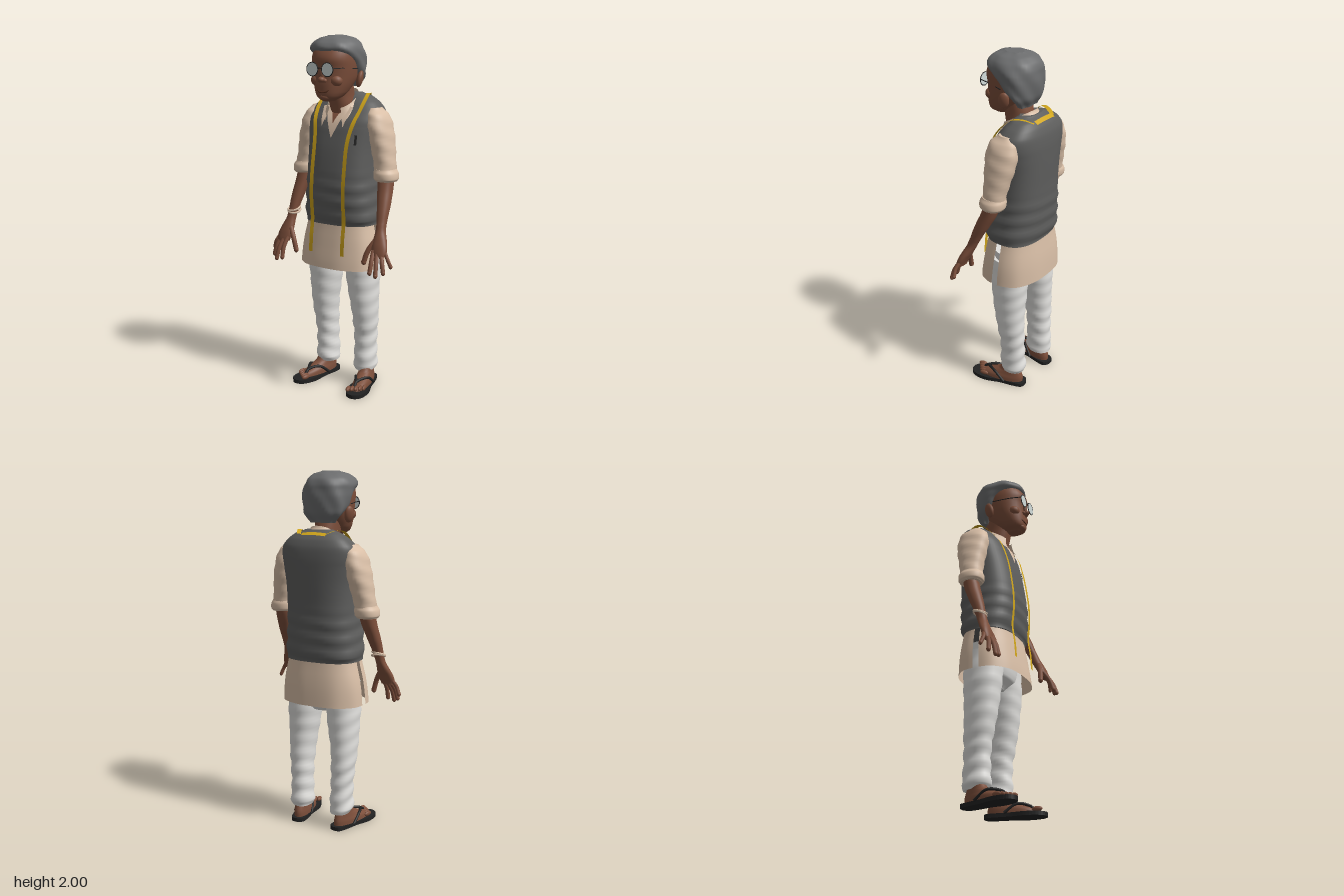
import * as THREE from 'three';

const mat = (name, color, side = THREE.FrontSide) => {
  const m = new THREE.MeshStandardMaterial({ color, side });
  m.name = name;
  return m;
};
const V = (x, y, z) => new THREE.Vector3(x, y, z);

// Surface from a rule: rows run upward, columns run counterclockwise seen from above
function grid(rows, cols, point, closed = false) {
  const pos = [], idx = [], n = closed ? cols : cols + 1;
  for (let i = 0; i <= rows; i++)
    for (let j = 0; j < n; j++) pos.push(...point(i, j / cols));
  for (let i = 0; i < rows; i++)
    for (let j = 0; j < cols; j++) {
      const k = (j + 1) % n, a = i * n + j, b = i * n + k, c = b + n, d = a + n;
      idx.push(a, b, c, a, c, d);
    }
  const g = new THREE.BufferGeometry();
  g.setAttribute('position', new THREE.Float32BufferAttribute(pos, 3));
  g.setIndex(idx);
  g.computeVertexNormals();
  return g;
}

// Cross-section rows are [y, centreX, frontZ, backZ, halfWidth]
function rowAt(rows, y) {
  let i = 0;
  while (i < rows.length - 2 && y > rows[i + 1][0]) i++;
  const t = (y - rows[i][0]) / (rows[i + 1][0] - rows[i][0]);
  const at = k => rows[Math.min(Math.max(k, 0), rows.length - 1)];
  const [p, q, r, s] = [at(i - 1), at(i), at(i + 1), at(i + 2)];
  return q.map((v, k) => k === 0 ? y : v + 0.5 * t * (r[k] - p[k] +
    t * (2 * p[k] - 5 * v + 4 * r[k] - s[k] + t * (3 * (v - r[k]) + s[k] - p[k]))));
}
const bend = (v, n) => Math.sign(v) * Math.pow(Math.abs(v), 2 / n);

function loft(rows, { n = 2.2, cols = 32, arc, ripple = () => 0 } = {}) {
  const ys = [];
  rows.forEach((r, i) => {
    if (i) for (let k = 0; k < 5; k++) ys.push(rows[i - 1][0] + (r[0] - rows[i - 1][0]) * k / 5);
  });
  ys.push(rows.at(-1)[0]);
  const last = ys.length - 1;
  // closed bodies get a doubled rim and a centre row at each end
  const list = ys.map(y => [y, 1]);
  if (!arc) {
    list.unshift([ys[0], 0], [ys[0], 1]);
    list.push([ys[last], 1], [ys[last], 0]);
  }
  const [a, b] = arc || [0, Math.PI * 2];
  return grid(list.length - 1, cols, (i, f) => {
    const [y, scale] = list[i], t = a + (b - a) * f;
    const [, cx, zf, zb, rx] = rowAt(rows, y), d = ripple(y, t);
    return [cx + scale * (rx + d) * bend(Math.sin(t), n), y,
      (zf + zb) / 2 + scale * ((zf - zb) / 2 + d) * bend(Math.cos(t), n)];
  }, !arc);
}

const torso = [[0.97, 0, 0.122, -0.18, 0.214], [1.0, 0, 0.13, -0.188, 0.22], [1.1, 0, 0.14, -0.195, 0.212],
  [1.2, 0, 0.14, -0.2, 0.205], [1.3, 0, 0.128, -0.2, 0.203], [1.4, 0, 0.11, -0.203, 0.206],
  [1.5, 0, 0.085, -0.205, 0.218], [1.55, 0, 0.065, -0.204, 0.224], [1.6, 0, 0.03, -0.198, 0.215],
  [1.64, 0, 0, -0.183, 0.18], [1.67, 0, -0.03, -0.16, 0.135], [1.69, 0, -0.05, -0.13, 0.08]];
const TORSO_N = 2.6;
// Depth of the chest surface at x, y
function frontZ(x, y) {
  const [, , zf, zb, rx] = rowAt(torso, y);
  const u = Math.min(1, Math.abs(x) / rx);
  return (zf + zb) / 2 + (zf - zb) / 2 * Math.pow(1 - Math.pow(u, TORSO_N), 1 / TORSO_N);
}
// Thin panel lying on the chest
const patch = (y0, y1, left, right, offset) => grid(10, 8, (i, f) => {
  const t = i / 10, y = y0 + (y1 - y0) * t, x = left(t) + (right(t) - left(t)) * f;
  return [x, y, frontZ(x, y) + offset];
});
function ribbon(points, width, normalAt) {
  const c = new THREE.CatmullRomCurve3(points), n = 60;
  return grid(n, 1, (i, f) => {
    const p = c.getPoint(i / n), side = c.getTangent(i / n).cross(normalAt(p)).normalize();
    return p.addScaledVector(side, (f - 0.5) * width).toArray();
  });
}
const tube = (pts, r, seg = 16) =>
  new THREE.TubeGeometry(new THREE.CatmullRomCurve3(pts), seg, r, 10, false);

export function createModel() {
  const model = new THREE.Group();
  model.name = 'oldMan';
  const D = THREE.DoubleSide;
  const skin = mat('skin', 0x7d4f3b), hair = mat('greyHair', 0x6c6d6e), vestM = mat('vestGrey', 0x5e5e5d);
  const shirt = mat('shirtBeige', 0xd9bfa7, D), white = mat('trouserWhite', 0xe2e1de);
  const black = mat('black', 0x222222, D), yellow = mat('tapeYellow', 0xd0a51c, D);
  const lens = mat('lens', 0xd3dcda, D), lip = mat('lipBrown', 0x55301f);
  const add = (name, geo, m, parent = model) => {
    const mesh = new THREE.Mesh(geo, m);
    mesh.name = name;
    parent.add(mesh);
    return mesh;
  };
  const ball = (name, m, p, sx, sy, sz, parent) => {
    const b = add(name, new THREE.SphereGeometry(1, 20, 14), m, parent);
    b.position.copy(p);
    b.scale.set(sx, sy, sz);
    return b;
  };

  // Vest with soft folds at the waist
  add('vest', loft(torso, { n: TORSO_N, cols: 48, ripple: (y, t) =>
    0.004 * Math.max(0, Math.min(1, (1.28 - y) / 0.1)) * Math.sin(y * 75 + Math.sin(t * 2)) }), vestM);

  // Long shirt tails, front and back, with side slits
  const tails = [[0.725, 0, 0.155, -0.195, 0.245], [0.85, 0, 0.137, -0.19, 0.235], [1.0, 0, 0.115, -0.175, 0.205]];
  const folds = (y, t) => 0.004 * Math.sin(t * 9) * (1 - y);
  add('shirtFrontTail', loft(tails, { n: 2.5, cols: 40, arc: [-1.51, 1.51], ripple: folds }), shirt);
  add('shirtBackTail', loft(tails, { n: 2.5, cols: 40, arc: [1.63, Math.PI * 2 - 1.63], ripple: folds }), shirt);

  // Shirt opening, neck and collar
  add('shirtFront', patch(1.455, 1.64, t => -0.08 * t - 0.002, t => 0.08 * t + 0.002, 0.006), shirt);
  add('bareChest', patch(1.53, 1.64, t => -0.045 * t, t => 0.045 * t, 0.01), skin);
  add('neck', loft([[1.54, 0, 0.045, -0.1, 0.045], [1.62, 0, 0.06, -0.1, 0.066], [1.68, -0.003, 0.075, -0.09, 0.066],
    [1.76, -0.005, 0.09, -0.07, 0.07]]), skin);
  const collar = loft([[1.6, 0, 0.085, -0.145, 0.112], [1.635, 0, 0.075, -0.125, 0.095], [1.665, 0, 0.07, -0.112, 0.078]],
    { arc: [0.45, Math.PI * 2 - 0.45] });
  const cp = collar.attributes.position;
  for (let i = 0; i < cp.count; i++) cp.setY(i, cp.getY(i) - 0.55 * (cp.getZ(i) + 0.03));
  collar.computeVertexNormals();
  add('collar', collar, shirt);
  for (const s of [-1, 1]) {
    const a = t => s * (0.066 - 0.03 * t), b = t => s * (0.07 + 0.025 * t);
    add('collarPoint', patch(1.515, 1.62, s > 0 ? a : b, s > 0 ? b : a, 0.014), shirt);
  }
  add('pocketClip', patch(1.42, 1.475, () => 0.138, () => 0.15, 0.005), black);

  // Head, nose, mouth and ears
  const cx = -0.006;
  add('head', loft([[1.655, cx, 0.148, 0.07, 0.03], [1.675, cx, 0.168, 0.03, 0.064], [1.7, cx, 0.174, -0.01, 0.083],
    [1.74, cx, 0.174, -0.05, 0.1], [1.78, cx, 0.17, -0.08, 0.112], [1.83, cx, 0.17, -0.09, 0.12],
    [1.88, cx, 0.177, -0.1, 0.122], [1.93, cx, 0.155, -0.1, 0.115], [1.97, cx, 0.11, -0.07, 0.085]]), skin);
  ball('noseBridge', skin, V(cx, 1.805, 0.172), 0.014, 0.035, 0.015);
  ball('noseTip', skin, V(cx, 1.772, 0.18), 0.019, 0.016, 0.021);
  for (const s of [-1, 1]) {
    ball('nostril', skin, V(cx + s * 0.016, 1.767, 0.172), 0.012, 0.011, 0.013);
    ball('cheek', skin, V(cx + s * 0.06, 1.765, 0.13), 0.036, 0.032, 0.034);
    ball('ear', skin, V(cx + s * 0.127, 1.77, 0.0), 0.018, 0.046, 0.03).rotation.set(-0.15, s * 0.4, -s * 0.15);
  }
  ball('chin', skin, V(cx, 1.678, 0.152), 0.034, 0.02, 0.022);
  add('mouth', tube([V(-0.043, 1.717, 0.164), V(-0.026, 1.707, 0.173), V(cx, 1.704, 0.175), V(0.014, 1.707, 0.173),
    V(0.031, 1.717, 0.164)], 0.004), lip);

  // Swept hair, low at the nape and forward over the brow
  add('hair', loft([[1.725, cx, -0.035, -0.09, 0.075], [1.77, cx, -0.01, -0.113, 0.112], [1.81, cx, 0.045, -0.122, 0.13],
    [1.86, cx, 0.085, -0.127, 0.138], [1.9, cx, 0.13, -0.126, 0.141], [1.93, -0.01, 0.166, -0.123, 0.139],
    [1.96, -0.01, 0.158, -0.108, 0.123], [1.985, -0.008, 0.125, -0.075, 0.09], [2.0, -0.008, 0.08, -0.03, 0.04]],
    { cols: 48, ripple: (y, t) => 0.003 * Math.sin(t * 7 + y * 40) }), hair);

  // Round spectacles
  const glasses = new THREE.Group();
  glasses.name = 'glasses';
  model.add(glasses);
  for (const s of [-1, 1]) {
    const x = -0.01 + s * 0.048;
    add('lens', new THREE.CircleGeometry(0.036, 32), lens, glasses).position.set(x, 1.826, 0.191);
    add('rim', new THREE.TorusGeometry(0.036, 0.0025, 8, 32), black, glasses).position.set(x, 1.826, 0.19);
    add('temple', tube([V(x + s * 0.036, 1.832, 0.19), V(x + s * 0.055, 1.832, 0.12), V(cx + s * 0.128, 1.825, 0.02)],
      0.0025), black, glasses);
  }
  add('bridge', tube([V(-0.022, 1.83, 0.19), V(-0.01, 1.834, 0.192), V(0.002, 1.83, 0.19)], 0.0025), black, glasses);

  // Tape measure around the neck
  const lift = p => {
    const k = THREE.MathUtils.smoothstep(p.y, 1.5, 1.67);
    return V(0, k, 1 - 0.8 * k);
  };
  for (const s of [-1, 1]) {
    const pts = [V(s * 0.104, 0.81, 0.153), V(s * 0.104, 0.9, 0.146)];
    for (const [x, y] of [[0.104, 1.0], [0.104, 1.1], [0.104, 1.2], [0.104, 1.3], [0.104, 1.4], [0.11, 1.47], [0.125, 1.54], [0.137, 1.6]])
      pts.push(V(s * x, y, frontZ(x, y) + 0.012));
    pts.push(V(s * 0.138, 1.65, -0.02), V(s * 0.132, 1.682, -0.065), V(s * 0.108, 1.685, -0.12), V(s * 0.08, 1.668, -0.166));
    add('tapeSide', ribbon(pts, 0.024, lift), yellow);
  }
  add('tapeBack', ribbon([V(-0.085, 1.668, -0.166), V(-0.01, 1.672, -0.168), V(0.065, 1.668, -0.166)], 0.026,
    () => V(0, 0.8, -0.5)), yellow);

  // Trousers
  add('trouserSeat', loft([[0.68, 0, 0.02, -0.1, 0.06], [0.74, 0, 0.07, -0.145, 0.17], [0.9, 0, 0.09, -0.155, 0.195]]), white);
  for (const s of [-1, 1]) {
    const leg = [[0.09, 0.128, 0.0, -0.135, 0.054], [0.12, 0.13, 0.012, -0.143, 0.063], [0.2, 0.131, 0.01, -0.138, 0.059],
      [0.3, 0.133, 0.012, -0.135, 0.061], [0.4, 0.136, 0.03, -0.135, 0.067], [0.5, 0.134, 0.048, -0.135, 0.075],
      [0.6, 0.128, 0.06, -0.14, 0.085], [0.7, 0.124, 0.07, -0.145, 0.093], [0.85, 0.11, 0.07, -0.15, 0.1]];
    add('trouserLeg', loft(leg.map(([y, x, ...r]) => [y, s * x, ...r]), { ripple: (y, t) =>
      (y < 0.4 ? 0.004 : 0.002) * Math.sin(y * 70 + 2 * Math.sin(t + s)) }), white);

    // Foot and thong sandal, toes turned out
    const foot = new THREE.Group();
    foot.name = 'foot';
    foot.position.set(s * 0.122, 0, -0.15);
    foot.rotation.y = s * 0.22;
    model.add(foot);
    const outline = new THREE.Shape();
    outline.setFromPoints(new THREE.SplineCurve([[0, 0], [0.035, 0.015], [0.045, 0.07], [0.048, 0.15], [0.062, 0.24],
      [0.045, 0.32], [0, 0.348], [-0.045, 0.32], [-0.062, 0.24], [-0.048, 0.15], [-0.045, 0.07], [-0.035, 0.015], [0, 0]]
      .map(p => new THREE.Vector2(p[0], -p[1]))).getPoints(60));
    add('sandalSole', new THREE.ExtrudeGeometry(outline, { depth: 0.022, bevelEnabled: false }), black, foot).rotation.x = -Math.PI / 2;
    add('footBody', loft([[0.022, 0, 0.295, 0.02, 0.047], [0.045, 0, 0.275, 0.02, 0.046], [0.065, 0, 0.22, 0.025, 0.041],
      [0.09, 0, 0.165, 0.035, 0.037], [0.16, 0, 0.12, 0.04, 0.035]]), skin, foot);
    for (let i = 0; i < 5; i++)
      ball('toe', skin, V(s * (i - 2) * 0.02, 0.036, 0.3 - 0.011 * i), 0.0125 - 0.0007 * i, 0.014, 0.027, foot);
    for (const k of [-1, 1])
      add('sandalStrap', tube([V(-s * 0.012, 0.03, 0.285), V(-s * 0.01, 0.06, 0.255), V(k * 0.035, 0.07, 0.19),
        V(k * 0.053, 0.02, 0.12)], 0.008), black, foot);
  }

  // Sleeves, forearms and hands
  for (const s of [-1, 1]) {
    const side = rows => rows.map(([y, x, ...r]) => [y, s * x, ...r]);
    add('sleeve', loft(side([[1.25, 0.266, 0.02, -0.102, 0.057], [1.35, 0.25, 0.02, -0.12, 0.06], [1.45, 0.23, 0.03, -0.145, 0.064],
      [1.53, 0.213, 0.032, -0.152, 0.06], [1.58, 0.2, 0.015, -0.14, 0.05], [1.615, 0.185, -0.02, -0.105, 0.03]]),
      { ripple: (y, t) => 0.002 * Math.sin(y * 80 + t * 2) }), shirt);
    add('rolledCuff', loft(side([[1.222, 0.272, 0.022, -0.1, 0.057], [1.235, 0.271, 0.032, -0.11, 0.066],
      [1.265, 0.268, 0.032, -0.112, 0.066], [1.288, 0.263, 0.022, -0.105, 0.058]])), shirt);

    const elbow = new THREE.Group(), arm = new THREE.Group();
    elbow.name = 'elbow';
    arm.name = 'lowerArm';
    elbow.position.set(0, 1.27, -0.04);
    arm.position.set(0, -1.27, 0.04);
    elbow.rotation.x = s < 0 ? 0.09 : 0;
    elbow.add(arm);
    model.add(elbow);
    add('forearmAndPalm', loft(side([[0.845, 0.334, 0.16, 0.115, 0.04], [0.88, 0.328, 0.15, 0.1, 0.046], [0.92, 0.32, 0.133, 0.078, 0.04],
      [0.97, 0.31, 0.108, 0.052, 0.027], [1.02, 0.303, 0.088, 0.026, 0.028], [1.1, 0.292, 0.06, -0.02, 0.036],
      [1.2, 0.275, 0.02, -0.07, 0.043], [1.27, 0.27, 0, -0.08, 0.045]])), skin, arm);
    const fingers = [[0.298, 0.925, 0.11, 0.243, 0.8, 0.145], [0.3, 0.87, 0.14, 0.31, 0.76, 0.195],
      [0.324, 0.862, 0.142, 0.348, 0.75, 0.198], [0.346, 0.862, 0.136, 0.381, 0.765, 0.172], [0.362, 0.872, 0.125, 0.405, 0.795, 0.135]];
    fingers.forEach(([x, y, z, tx, ty, tz], i) => {
      const r = i === 0 ? 0.014 : i === 4 ? 0.0105 : 0.012;
      const tip = V(s * tx, ty, tz);
      const knuckle = V(s * ((x + tx) / 2 + (i ? 0.004 : -0.008)), (y + ty) / 2, (z + tz) / 2 + 0.008);
      add('finger', tube([V(s * x, y, z), knuckle, tip], r, 10), skin, arm);
      ball('fingertip', skin, tip, r, r * 1.2, r, arm);
    });
    // Twisted bracelet on the right wrist
    if (s < 0) for (const k of [-1, 1]) {
      const ring = add('bracelet', new THREE.TorusGeometry(0.036, 0.006, 8, 28), shirt, arm);
      ring.position.set(-0.303, 1.015 + k * 0.006, 0.058);
      ring.rotation.set(Math.PI / 2 + 0.25, k * 0.12, 0);
    }
  }
  return model;
}
